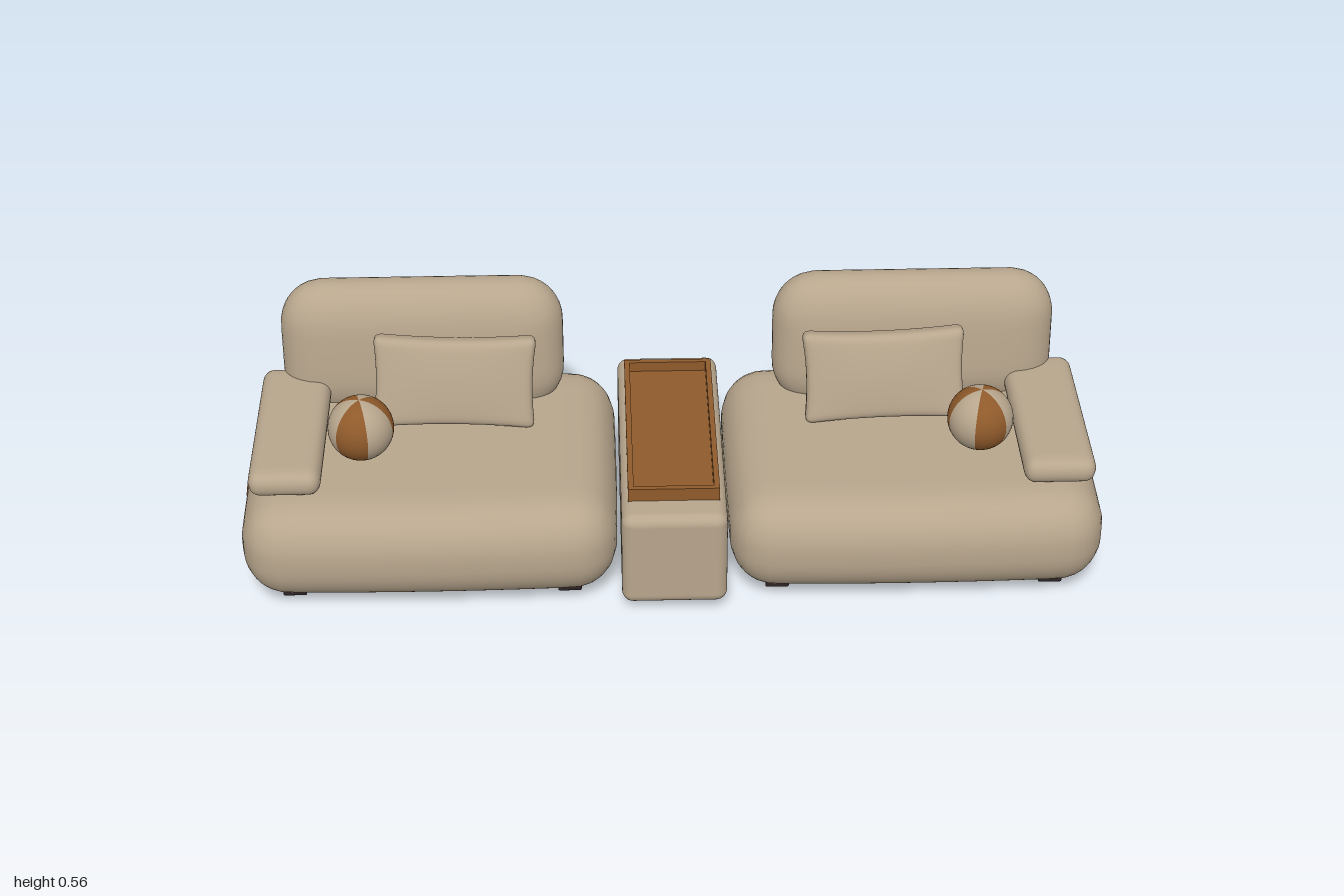
import * as THREE from 'three';
import { mergeVertices } from 'three/addons/utils/BufferGeometryUtils.js';
import { RoundedBoxGeometry } from 'three/addons/geometries/RoundedBoxGeometry.js';

const mat = (name, color) => Object.assign(new THREE.MeshStandardMaterial({ color }), { name });

// Soft box with its own corner radius per axis; warp(v, u) may reshape each vertex (u runs -1..1)
function cushion(size, radii, warp, n = 20) {
  let g = new THREE.BoxGeometry(2, 2, 2, n, n, n);
  g.deleteAttribute('uv');
  g.deleteAttribute('normal');
  g = mergeVertices(g);
  const p = g.attributes.position, axes = ['x', 'y', 'z'];
  const v = new THREE.Vector3(), core = new THREE.Vector3(), d = new THREE.Vector3();
  for (let i = 0; i < p.count; i++) {
    v.fromBufferAttribute(p, i);
    axes.forEach((a, k) => {
      const half = size[k] / 2, inner = half - radii[k];
      const q = Math.sin(v[a] * Math.PI / 2) * half; // crowd the rows towards the edges
      core[a] = THREE.MathUtils.clamp(q, -inner, inner);
      d[a] = (q - core[a]) / radii[k];
    });
    d.normalize();
    axes.forEach((a, k) => { v[a] = core[a] + d[a] * radii[k]; });
    if (warp) warp(v, { x: 2 * v.x / size[0], y: 2 * v.y / size[1], z: 2 * v.z / size[2] });
    p.setXYZ(i, v.x, v.y, v.z);
  }
  g.computeVertexNormals();
  return g;
}

export function createModel() {
  const model = new THREE.Group();
  model.name = 'modularSofa';
  const fabric = mat('beigeFabric', 0xb8a68d);
  const leather = mat('brownLeather', 0x8f5a2b);
  const dark = mat('darkFeet', 0x2d2224);

  const add = (parent, name, geometry, material, x = 0, y = 0, z = 0) => {
    const m = new THREE.Mesh(geometry, material);
    m.name = name;
    m.position.set(x, y, z);
    parent.add(m);
    return m;
  };

  // Shared shapes
  const seatGeo = cushion([0.862, 0.246, 0.666], [0.1, 0.112, 0.1], (v, u) => {
    v.z *= 1 + 0.036 * (1 - u.x * u.x);
    v.x += Math.sign(u.x) * 0.004 * u.x * u.x * (1 - u.z * u.z);
  });
  const strapGeo = cushion([0.2, 0.253, 0.12], [0.099, 0.115, 0.004]);
  const armGeo = cushion([0.166, 0.064, 0.467], [0.028, 0.031, 0.03]);
  const backGeo = cushion([0.672, 0.34, 0.145], [0.105, 0.11, 0.07], (v, u) => {
    v.z *= 1 + 0.08 * (1 - u.y * u.y);
  });
  const pillowGeo = cushion([0.385, 0.225, 0.072], [0.02, 0.02, 0.025], (v, u) => {
    const x = v.x;
    v.x *= 1 - 0.045 * (1 - u.y * u.y);
    v.y *= 1 - 0.08 * (1 - (x / 0.1925) ** 2);
    v.z *= 0.8 + 0.28 * (1 - u.x * u.x) * (1 - u.y * u.y);
  });
  const footGeo = new RoundedBoxGeometry(0.055, 0.04, 0.062, 2, 0.004);

  for (const s of [1, -1]) {
    const side = new THREE.Group();
    side.name = s > 0 ? 'leftSeatModule' : 'rightSeatModule';
    model.add(side);

    add(side, 'seatCushion', seatGeo, fabric, s * 0.564, 0.147, 0);
    add(side, 'sideStrap', strapGeo, leather, s * 0.901, 0.147, 0.02);
    add(side, 'armrest', armGeo, fabric, s * 0.891, 0.302, 0.009);

    const back = add(side, 'backCushion', backGeo, fabric, s * 0.587, 0.39, -0.228);
    back.rotation.x = -0.1;

    const pillow = add(side, 'throwPillow', pillowGeo, fabric, s * 0.508, 0.378, -0.078);
    pillow.rotation.set(-0.28, s * -0.04, s * 0.04);

    // Ball of six alternating wedges
    const ball = new THREE.Group();
    ball.name = 'ball';
    ball.position.set(s * 0.722, 0.346, 0.064);
    side.add(ball);
    const wedge = Math.PI / 3;
    for (let i = 0; i < 6; i++) {
      const a = -0.25 + i * wedge;
      const start = s > 0 ? Math.PI - a - wedge : a;
      add(ball, 'ballWedge', new THREE.SphereGeometry(0.077, 8, 24, start, wedge), i % 2 ? leather : fabric);
    }

    for (const x of [0.243, 0.885])
      for (const z of [0.22, -0.22]) add(side, 'foot', footGeo, dark, s * x, 0.02, z);
  }

  // Console between the seats
  const console_ = new THREE.Group();
  console_.name = 'centreConsole';
  model.add(console_);
  add(console_, 'consoleBody', new RoundedBoxGeometry(0.243, 0.245, 0.685, 4, 0.026), fabric, 0, 0.148, 0);
  for (const z of [0.22, -0.22])
    add(console_, 'consoleFoot', new RoundedBoxGeometry(0.075, 0.04, 0.062, 2, 0.004), dark, 0, 0.02, z);

  // Tray: floor plate and raised rim
  const rect = (Type, w, d) => new Type([[-w, -d], [w, -d], [w, d], [-w, d]].map(([x, y]) => new THREE.Vector2(x, y)));
  const rim = rect(THREE.Shape, 0.105, 0.27);
  rim.holes.push(rect(THREE.Path, 0.092, 0.257));
  const rimGeo = new THREE.ExtrudeGeometry(rim, { depth: 0.036, bevelEnabled: false });
  rimGeo.rotateX(-Math.PI / 2);
  add(console_, 'trayRim', rimGeo, leather, 0, 0.267, 0);
  add(console_, 'trayFloor', new THREE.BoxGeometry(0.19, 0.012, 0.52), leather, 0, 0.272, 0);

  return model;
}
